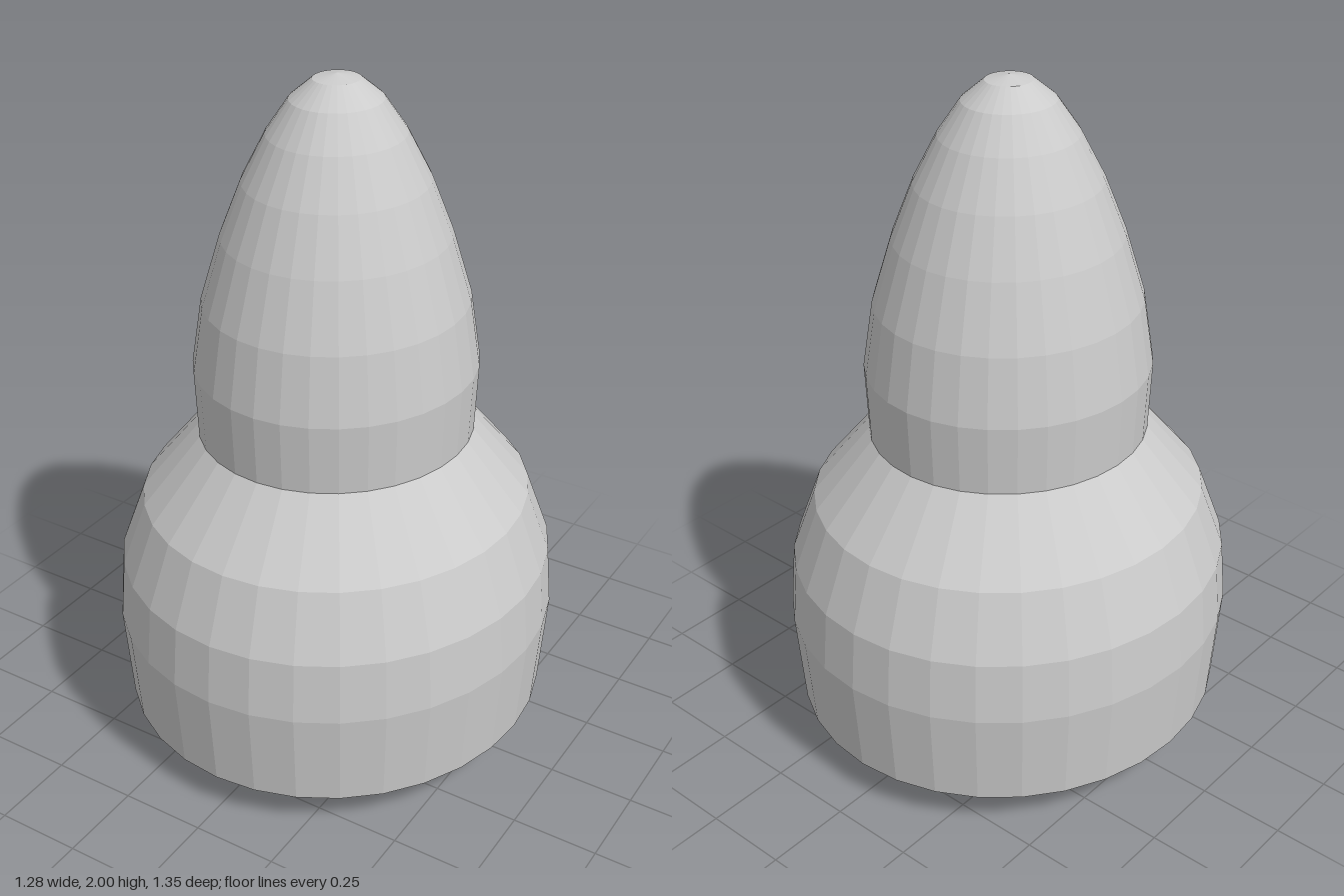
import * as THREE from 'three';

const SIDES = 32;
const DEPTH_RATIO = 1.05; // slightly oval cross-section, deeper than wide

// Faceted oval turning from [radius, height] pairs, listed bottom to top
function turned(name, profile) {
  const points = profile.map(([r, y]) => new THREE.Vector2(r, y));
  const geometry = new THREE.LatheGeometry(points, SIDES);
  geometry.scale(1, 1, DEPTH_RATIO);
  const material = new THREE.MeshStandardMaterial({ color: 0xcccccc, flatShading: true });
  const mesh = new THREE.Mesh(geometry, material);
  mesh.name = name;
  return mesh;
}

export function createModel() {
  const model = new THREE.Group();
  model.name = 'steppedDome';

  // Shallow rounded underside
  model.add(turned('underside', [
    [0, 0], [0.064, 0.012], [0.127, 0.023], [0.62, 0.113],
  ]));

  // Wide lower body, tapering in to the neck
  model.add(turned('lowerBody', [
    [0.62, 0.113], [0.641, 0.4], [0.626, 0.58], [0.557, 0.77], [0.392, 0.972],
  ]));

  // Tall pointed dome on top
  model.add(turned('upperDome', [
    [0.392, 0.972], [0.4, 1.175], [0.37, 1.37], [0.314, 1.557], [0.254, 1.712],
    [0.188, 1.842], [0.126, 1.934], [0.064, 1.987], [0, 2],
  ]));

  return model;
}
